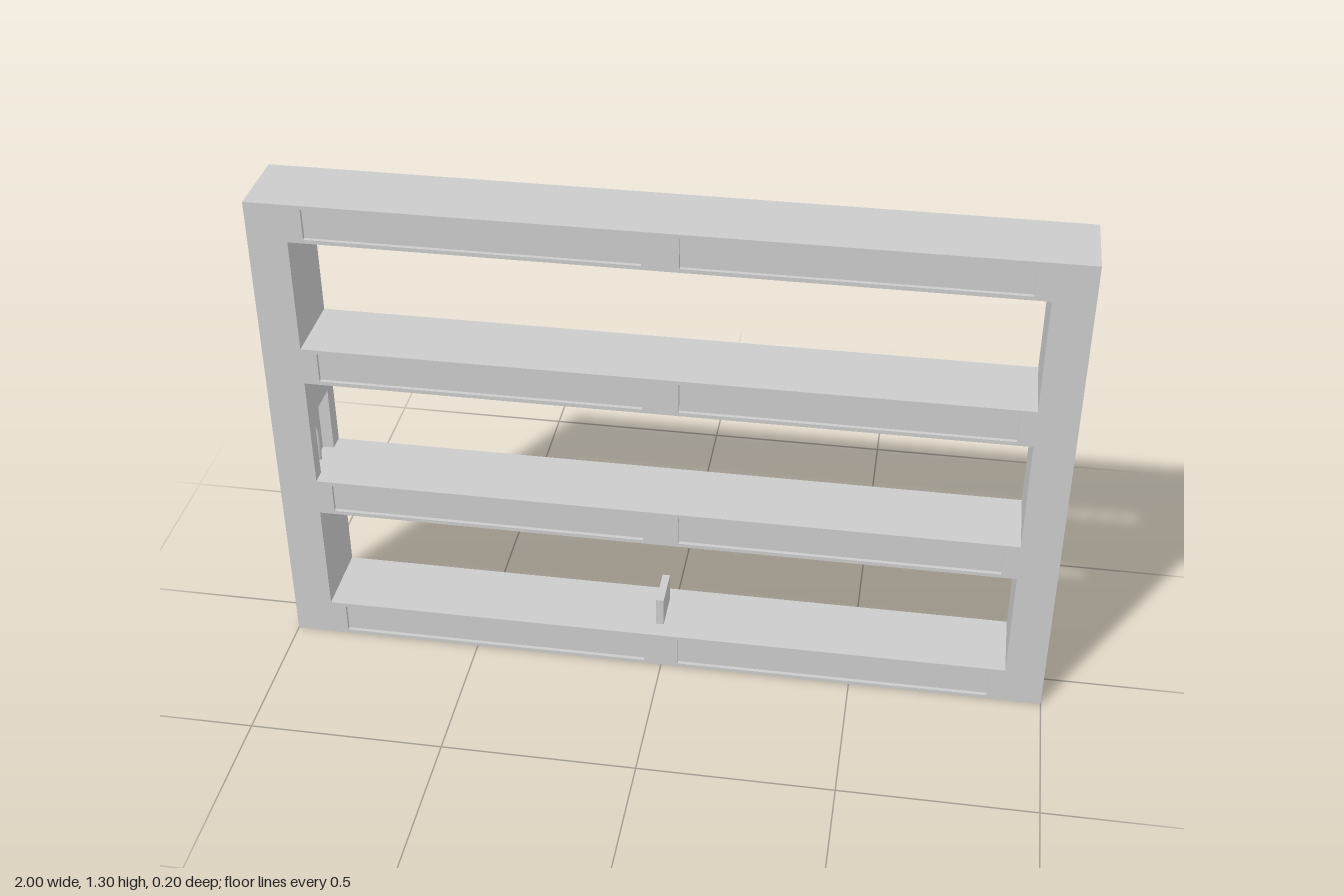
import * as THREE from 'three';

const material = new THREE.MeshStandardMaterial({ color: 0xcccccc, side: THREE.DoubleSide });

function path(points) {
  return new THREE.Path(points.map(([x, y]) => new THREE.Vector2(x, y)));
}

function rect(x0, x1, y0, y1) {
  return [[x0, y0], [x1, y0], [x1, y1], [x0, y1]];
}

export function createModel() {
  const group = new THREE.Group();

  function add(name, geometry, x = 0, y = 0, z = 0) {
    const mesh = new THREE.Mesh(geometry, material);
    mesh.name = name;
    mesh.position.set(x, y, z);
    group.add(mesh);
    return mesh;
  }

  // Three wide openings between four shelves
  const openings = [0.1, 0.5, 0.9].map((y) => rect(-0.9, 0.9, y, y + 0.3));

  // Middle opening with a pocket cut into the side rail
  const notched = [...openings];
  notched[1] = [[-0.93, 0.5], [0.9, 0.5], [0.9, 0.8], [-0.9, 0.8], [-0.9, 0.68], [-0.93, 0.68]];

  // Shallow label slots on the front edge of every shelf
  const slots = [];
  for (const y of [0, 0.4, 0.8, 1.2]) {
    slots.push(rect(-0.86, -0.045, y + 0.01, y + 0.09));
    slots.push(rect(0.045, 0.86, y + 0.01, y + 0.09));
  }

  // The frame is stacked from slices through its depth
  function slice(name, z0, z1, holes) {
    const shape = new THREE.Shape(path(rect(-1, 1, 0, 1.3)).getPoints());
    shape.holes = holes.map(path);
    const geometry = new THREE.ExtrudeGeometry(shape, { depth: z1 - z0, bevelEnabled: false });
    add(name, geometry, 0, 0, z0);
  }
  slice('frameBack', -0.1, -0.055, openings);
  slice('frameMiddle', -0.055, 0.06, notched);
  slice('frameFront', 0.06, 0.09, openings);
  slice('slottedFace', 0.09, 0.1, [...openings, ...slots]);

  // Small upright divider on the bottom shelf
  add('divider', new THREE.BoxGeometry(0.02, 0.08, 0.11), -0.01, 0.14, -0.002);

  // Round socket in the pocket, with a short cable down to the shelf
  const socket = add('socket', new THREE.CylinderGeometry(0.013, 0.013, 0.004, 20), -0.929, 0.6, 0);
  socket.rotation.z = Math.PI / 2;
  const cable = new THREE.CatmullRomCurve3([
    new THREE.Vector3(-0.93, 0.6, 0),
    new THREE.Vector3(-0.922, 0.585, 0),
    new THREE.Vector3(-0.922, 0.5, 0),
  ]);
  add('cable', new THREE.TubeGeometry(cable, 16, 0.006, 10));

  // Cable outlet on the outside of the rail
  const outlet = add('cableOutlet', new THREE.CylinderGeometry(0.006, 0.006, 0.004, 12), -0.9985, 0.45, 0);
  outlet.rotation.z = Math.PI / 2;

  return group;
}
